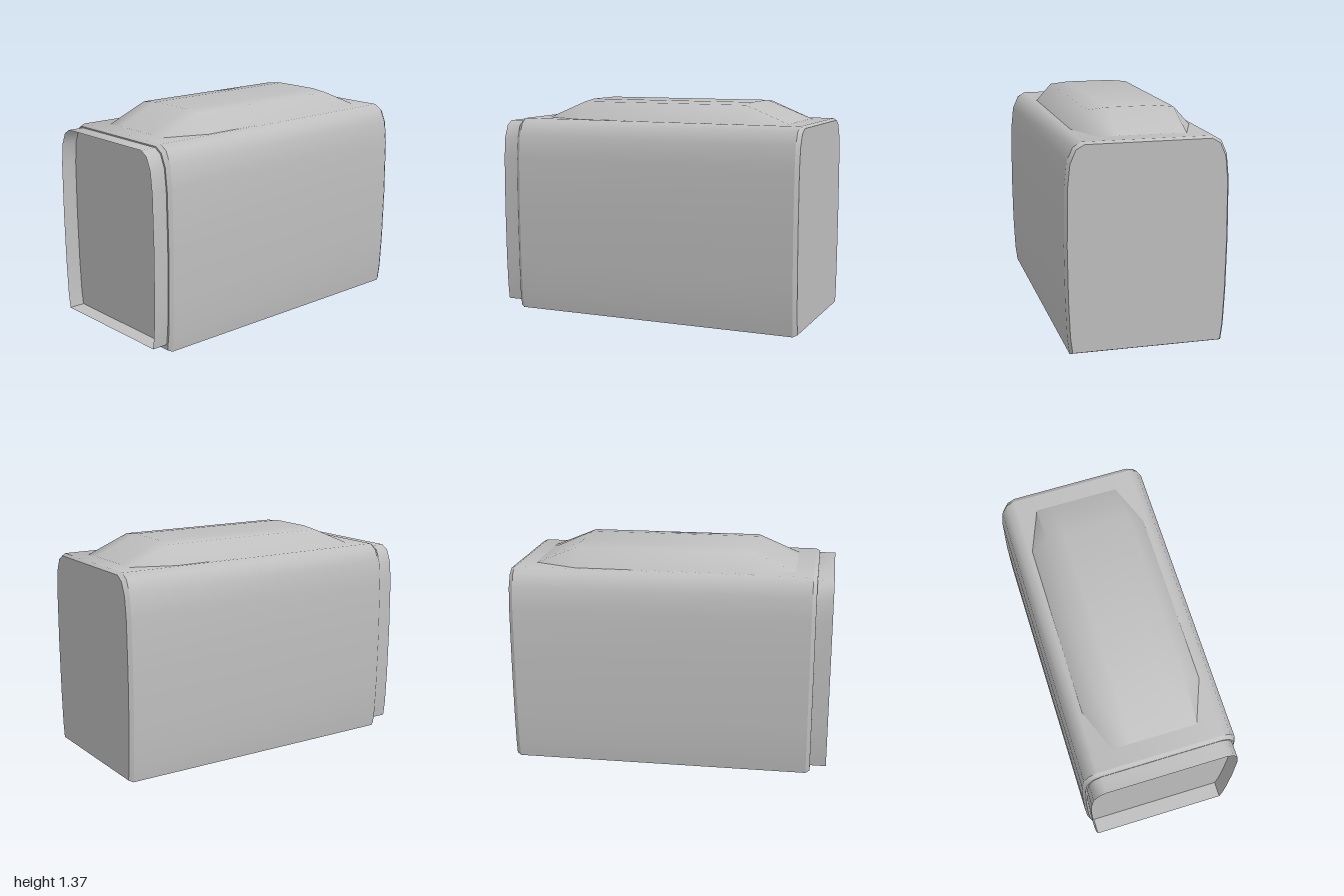
import * as THREE from 'three';
import { toCreasedNormals } from 'three/addons/utils/BufferGeometryUtils.js';

// Right half of the cross-section, from the floor up to the roof
const HALF = [
  [0.462, 0], [0.475, 0.1], [0.485, 0.32], [0.49, 0.65],
  [0.485, 1.0], [0.47, 1.14], [0.435, 1.22], [0.385, 1.25],
];

// Mirrors a half profile into a full outline, counter-clockwise from the front
const mirror = (half) => [...half, ...half.map(([x, y]) => [-x, y]).reverse()];

// Scales the cross-section sideways and fits it between two heights
const fit = (sx, y0, y1) => mirror(HALF.map(([x, y]) => [x * sx, y0 + (y / 1.25) * (y1 - y0)]));

// Skins closed outlines, ordered from front to back
function loft(rings, crease) {
  const n = rings[0].pts.length;
  const pos = [];
  const index = [];
  for (const { pts, z } of rings) for (const [x, y] of pts) pos.push(x, y, z);
  for (let i = 0; i < rings.length - 1; i++) {
    for (let j = 0; j < n; j++) {
      const a = i * n + j, b = i * n + ((j + 1) % n);
      index.push(a, a + n, b + n, a, b + n, b);
    }
  }
  const g = new THREE.BufferGeometry();
  g.setAttribute('position', new THREE.Float32BufferAttribute(pos, 3));
  g.setIndex(index);
  g.computeVertexNormals();
  return toCreasedNormals(g, crease);
}

export function createModel() {
  const model = new THREE.Group();
  model.name = 'railCarBody';
  const grey = new THREE.MeshStandardMaterial({ color: 0xbfbfbf, side: THREE.DoubleSide });
  grey.name = 'plain grey';

  const add = (name, geometry) => {
    const mesh = new THREE.Mesh(geometry, grey);
    mesh.name = name;
    model.add(mesh);
    return mesh;
  };

  const outer = fit(1, 0, 1.25);
  const inner = fit(0.97, 0.012, 1.238);

  // Main shell with a small bevel at each end
  add('shell', loft([{ pts: outer, z: 0.875 }, { pts: outer, z: -0.975 }], 0.75));
  add('frontBevel', loft([{ pts: inner, z: 0.9 }, { pts: outer, z: 0.875 }], 0.75));
  add('rearBevel', loft([{ pts: outer, z: -0.975 }, { pts: inner, z: -1 }], 0.75));

  // Flat end walls
  const wall = new THREE.ShapeGeometry(new THREE.Shape(inner.map(([x, y]) => new THREE.Vector2(x, y))));
  add('frontWall', wall).position.z = 0.9;
  const rear = add('rearWall', wall);
  rear.position.z = -1;
  rear.rotation.y = Math.PI;

  // Open gangway collar standing out from the front wall
  const collar = fit(0.95, 0.045, 1.23);
  add('gangwayCollar', loft([{ pts: collar, z: 1 }, { pts: collar, z: 0.9 }], 0.75));

  // Roof pod with tapered ends that sink into the roof
  const pod = mirror([[0.365, 1.25], [0.265, 1.36], [0.15, 1.372]]);
  const tip = mirror([[0.265, 1.245], [0.262, 1.25], [0.15, 1.252]]);
  add('roofPod', loft([
    { pts: tip, z: 0.765 }, { pts: pod, z: 0.5 },
    { pts: pod, z: -0.6 }, { pts: tip, z: -0.87 },
  ], 1.0));

  return model;
}
